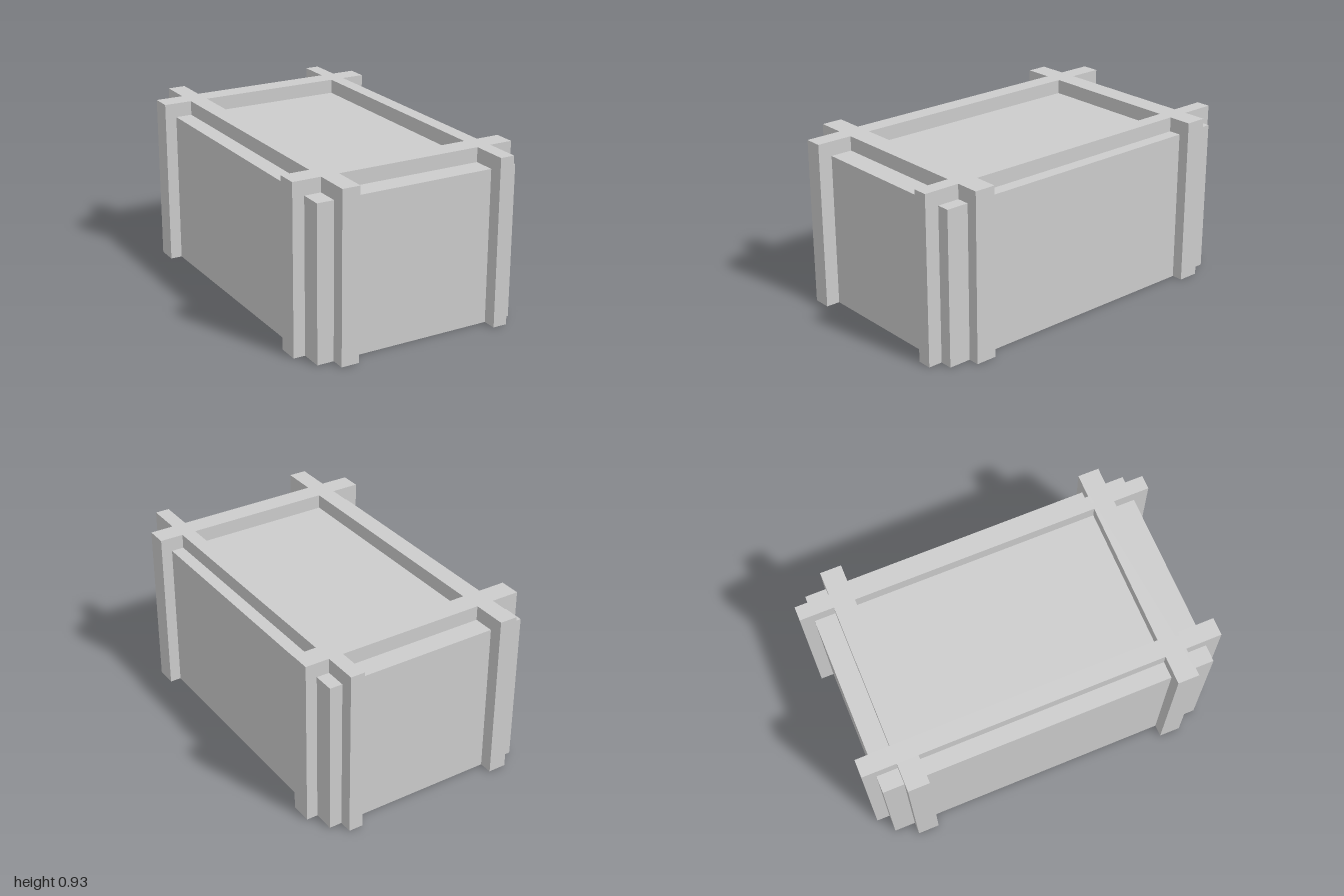
import * as THREE from 'three';

const material = new THREE.MeshStandardMaterial({ color: 0xcccccc, flatShading: true });

// Box given by its limits on x and z, standing on y = 0
function addBlock(group, name, [x0, x1], [z0, z1], height) {
  const mesh = new THREE.Mesh(new THREE.BoxGeometry(x1 - x0, height, z1 - z0), material);
  mesh.position.set((x0 + x1) / 2, height / 2, (z0 + z1) / 2);
  mesh.name = name;
  group.add(mesh);
}

export function createModel() {
  const model = new THREE.Group();
  model.name = 'crate';
  const boardHeight = 0.93;

  // Solid body, a little lower than the boards
  addBlock(model, 'body', [-0.58, 0.58], [-0.927, 0.922], 0.85);

  // Upright boards running front to back
  addBlock(model, 'rightSideBoard', [-0.487, -0.387], [-1, 1], boardHeight);
  addBlock(model, 'leftSideBoard', [0.43, 0.51], [-1, 1], boardHeight);

  // Upright boards running across and past the sides
  addBlock(model, 'frontCrossBoard', [-0.645, 0.642], [0.68, 0.798], boardHeight);
  addBlock(model, 'backCrossBoard', [-0.645, 0.642], [-0.81, -0.692], boardHeight);

  return model;
}
